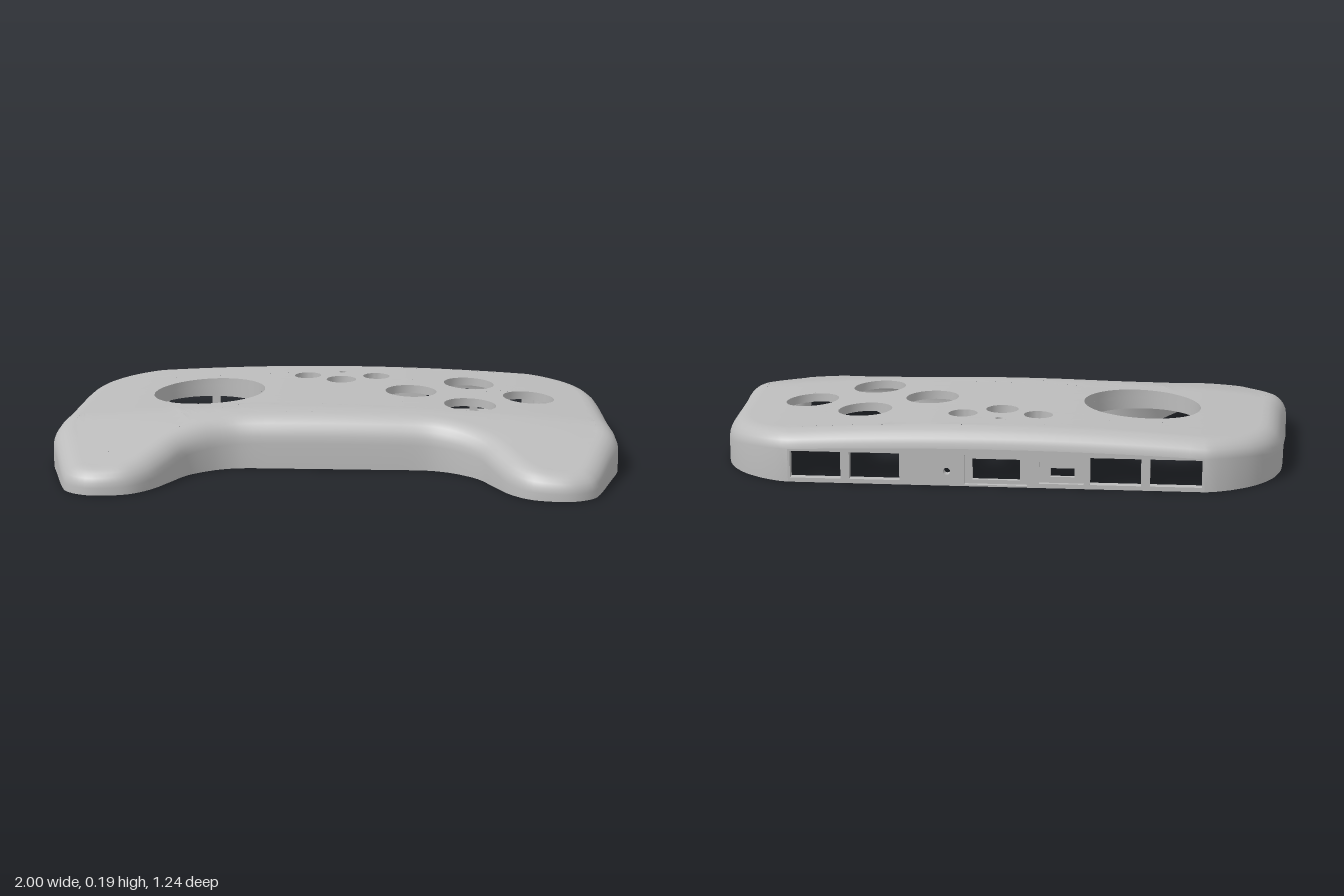
import * as THREE from 'three';
import { toCreasedNormals } from 'three/addons/utils/BufferGeometryUtils.js';

const WALL = 0.03, ROUND = 0.075, BACK = -0.62, FLAT = 0.7;
const V2 = (x, y) => new THREE.Vector2(x, y);

// Crowned top face that slopes down along the grips
function topHeight(x, z) {
  const s = Math.max(0, z - 0.11);
  return 0.195 - 0.048 * x * x - 0.21 * s * s / (s + 0.08);
}

// Plan outline (x, z), starting at the back and going round by the +x side
function makeOutline() {
  const side = new THREE.SplineCurve([
    [FLAT, BACK], [0.735, -0.612], [0.8, -0.58], [0.87, -0.523], [0.925, -0.445], [0.957, -0.355], [0.97, -0.26],
    [0.985, 0], [0.997, 0.14], [0.995, 0.23], [0.96, 0.36], [0.912, 0.525], [0.878, 0.582], [0.8, 0.616],
    [0.685, 0.599], [0.61, 0.535], [0.555, 0.44], [0.505, 0.35], [0.425, 0.283], [0.35, 0.252], [0.28, 0.245],
  ].map(p => V2(...p))).getSpacedPoints(90);
  const pts = [...side];
  for (let i = 1; i < 12; i++) pts.push(V2(0.28 - 0.56 * i / 12, 0.245));
  for (const p of [...side].reverse()) pts.push(V2(-p.x, p.y));
  for (let i = 1; i < 28; i++) pts.push(V2(-FLAT + 2 * FLAT * i / 28, BACK));
  return pts;
}

// Holes in the top face: x, z, radius
const PAD = [-0.48, -0.16, 0.205];
const BUTTONS = [[0.48, -0.327, 0.094], [0.265, -0.16, 0.094], [0.697, -0.16, 0.094], [0.48, 0.01, 0.094]];
const SMALL = [[-0.13, -0.39, 0.05], [0.13, -0.39, 0.05], [0, -0.325, 0.056], [0, -0.453, 0.013]];
const circle = ([x, z, r]) => {
  const n = r > 0.15 ? 56 : r > 0.03 ? 32 : 12;
  return Array.from({ length: n }, (_, i) =>
    V2(x + r * Math.cos(i / n * Math.PI * 2), z + r * Math.sin(i / n * Math.PI * 2)));
};

function shellGeometry(outline) {
  const pos = [];
  const n = outline.length;
  const tri = (...ps) => ps.forEach(p => pos.push(p.x, p.y, p.z));
  const quad = (a, b, c, d) => { tri(a, b, c); tri(a, c, d); };
  const inward = outline.map((p, i) => {
    const t = outline[(i + 1) % n].clone().sub(outline[(i + n - 1) % n]).normalize();
    return V2(-t.y, t.x);
  });
  const isBack = i => outline[i].y < BACK + 1e-4;

  // One ring of the wall: inset grows and height rises with angle a
  const ring = (a, inner) => outline.map((p, i) => {
    const base = inner ? WALL : 0, round = inner ? 0.058 : ROUND;
    const end = p.clone().addScaledVector(inward[i], base + round);
    const q = p.clone().addScaledVector(inward[i], base + (a < 0 ? 0 : round * (1 - Math.cos(a))));
    const h = topHeight(end.x, end.y) - base;
    const f = 0.66 - 0.18 * THREE.MathUtils.smoothstep(p.y, -0.6, -0.3)
      - 0.2 * THREE.MathUtils.smoothstep(p.y, 0.35, 0.6);
    return new THREE.Vector3(q.x, a < 0 ? 0 : h * (f + (1 - f) * Math.sin(a)), q.y);
  });
  const angles = [-1, 0, 1, 2, 3, 4, 5, 6].map(k => k < 0 ? -1 : k * Math.PI / 12);
  const outer = angles.map(a => ring(a, false));
  const inner = angles.map(a => ring(a, true)).reverse();
  const band = (a, b, skipBack) => {
    for (let i = 0; i < n; i++) {
      const j = (i + 1) % n;
      if (skipBack && isBack(i) && isBack(j)) continue;
      quad(a[i], b[i], b[j], a[j]);
    }
  };
  for (let k = 0; k < 7; k++) {
    band(outer[k], outer[k + 1], k === 0);
    band(inner[k], inner[k + 1], k === 6);
  }
  band(inner[7], outer[0], true);

  // Top face and its underside, split finely enough to follow the crown
  const holes = [PAD, ...BUTTONS, ...SMALL].map(circle);
  const cap = (rim, drop, up) => {
    const lift = p => new THREE.Vector3(p.x, topHeight(p.x, p.y) - drop, p.y);
    const split = (a, b, c) => {
      const l = [a.distanceTo(b), b.distanceTo(c), c.distanceTo(a)];
      const m = Math.max(...l);
      if (m < 0.06) {
        const area = (b.x - a.x) * (c.y - a.y) - (b.y - a.y) * (c.x - a.x);
        if (Math.abs(area) < 2e-6) return;
        if (area > 0 === up) tri(lift(a), lift(c), lift(b)); else tri(lift(a), lift(b), lift(c));
      } else if (m === l[0]) {
        const d = a.clone().lerp(b, 0.5); split(a, d, c); split(d, b, c);
      } else if (m === l[1]) {
        const d = b.clone().lerp(c, 0.5); split(a, b, d); split(a, d, c);
      } else {
        const d = c.clone().lerp(a, 0.5); split(a, b, d); split(d, b, c);
      }
    };
    const contour = rim.map(p => V2(p.x, p.z));
    const all = [...contour, ...holes.flat()];
    for (const [a, b, c] of THREE.ShapeUtils.triangulateShape(contour, holes)) split(all[a], all[b], all[c]);
  };
  cap(outer[7], 0, true);
  cap(inner[0], WALL, false);

  // Walls of the holes, facing their centres
  const at = (p, drop) => new THREE.Vector3(p.x, topHeight(p.x, p.y) - drop, p.y);
  for (const h of holes) h.forEach((p, i) => {
    const q = h[(i + 1) % h.length];
    quad(at(q, 0), at(p, 0), at(p, WALL), at(q, WALL));
  });

  const g = new THREE.BufferGeometry();
  g.setAttribute('position', new THREE.Float32BufferAttribute(pos, 3));
  const backTop = outer[1].filter((p, i) => isBack(i)).sort((a, b) => a.x - b.x);
  return { geometry: toCreasedNormals(g, 0.8), backTop };
}

export function createModel() {
  const group = new THREE.Group();
  const grey = new THREE.MeshStandardMaterial({ color: 0xbcbcbc });
  grey.name = 'grey';
  const add = (name, geometry, x = 0, y = 0, z = 0) => {
    const m = new THREE.Mesh(geometry, grey);
    m.name = name;
    m.position.set(x, y, z);
    group.add(m);
  };
  const turned = (profile, sides) => toCreasedNormals(
    new THREE.LatheGeometry(profile.map(p => V2(...p)), sides).toNonIndexed(), 0.6);

  const { geometry, backTop } = shellGeometry(makeOutline());
  add('shell', geometry);

  // Back wall in two layers, so that some ports sit in a recess
  const rect = (x0, x1, y0, y1) => new THREE.Path([V2(x0, y0), V2(x0, y1), V2(x1, y1), V2(x1, y0)]);
  const backLayer = (name, ports, z) => {
    const s = new THREE.Shape([V2(-FLAT, 0), V2(FLAT, 0), ...backTop.map(p => V2(p.x, p.y)).reverse()]);
    ports.forEach(p => s.holes.push(rect(...p)));
    s.holes.push(new THREE.Path().absarc(0.16, 0.05, 0.012, 0, Math.PI * 2, true));
    add(name, new THREE.ExtrudeGeometry(s, { depth: WALL / 2, bevelEnabled: false, curveSegments: 8 }), 0, 0, z);
  };
  const triggers = [[0.52, 0.692], [0.32, 0.49], [-0.49, -0.32], [-0.692, -0.52]].map(r => [...r, 0.015, 0.108]);
  backLayer('backWallOuter', [...triggers, [-0.11, 0.1, 0.006, 0.108], [-0.3, -0.15, 0.015, 0.09]], BACK);
  backLayer('backWallInner', [...triggers, [-0.085, 0.075, 0.02, 0.092], [-0.268, -0.188, 0.036, 0.066]], BACK + WALL / 2);

  // Collar under the large hole
  add('padCollar', turned([[0.206, 0.16], [0.206, 0.115], [0.25, 0.115], [0.25, 0.155]], 56), PAD[0], 0, PAD[1]);

  // Guide tabs hanging beside the button holes
  for (const [x, z, r] of BUTTONS) {
    add('buttonTab', new THREE.BoxGeometry(0.012, 0.06, 0.05), x + r + 0.008, topHeight(x + r, z) - 0.05, z);
  }

  // Hollow screw posts
  for (const s of [-1, 1]) for (const [x, z] of [[0.78, -0.42], [0.8, 0.07], [0.74, 0.485]]) {
    const top = topHeight(x, z) - 0.02;
    add('screwPost', turned([[0, 0.06], [0.022, 0.06], [0.022, 0.02], [0.052, 0.02], [0.052, top]], 24), s * x, 0, z);
  }
  return group;
}
